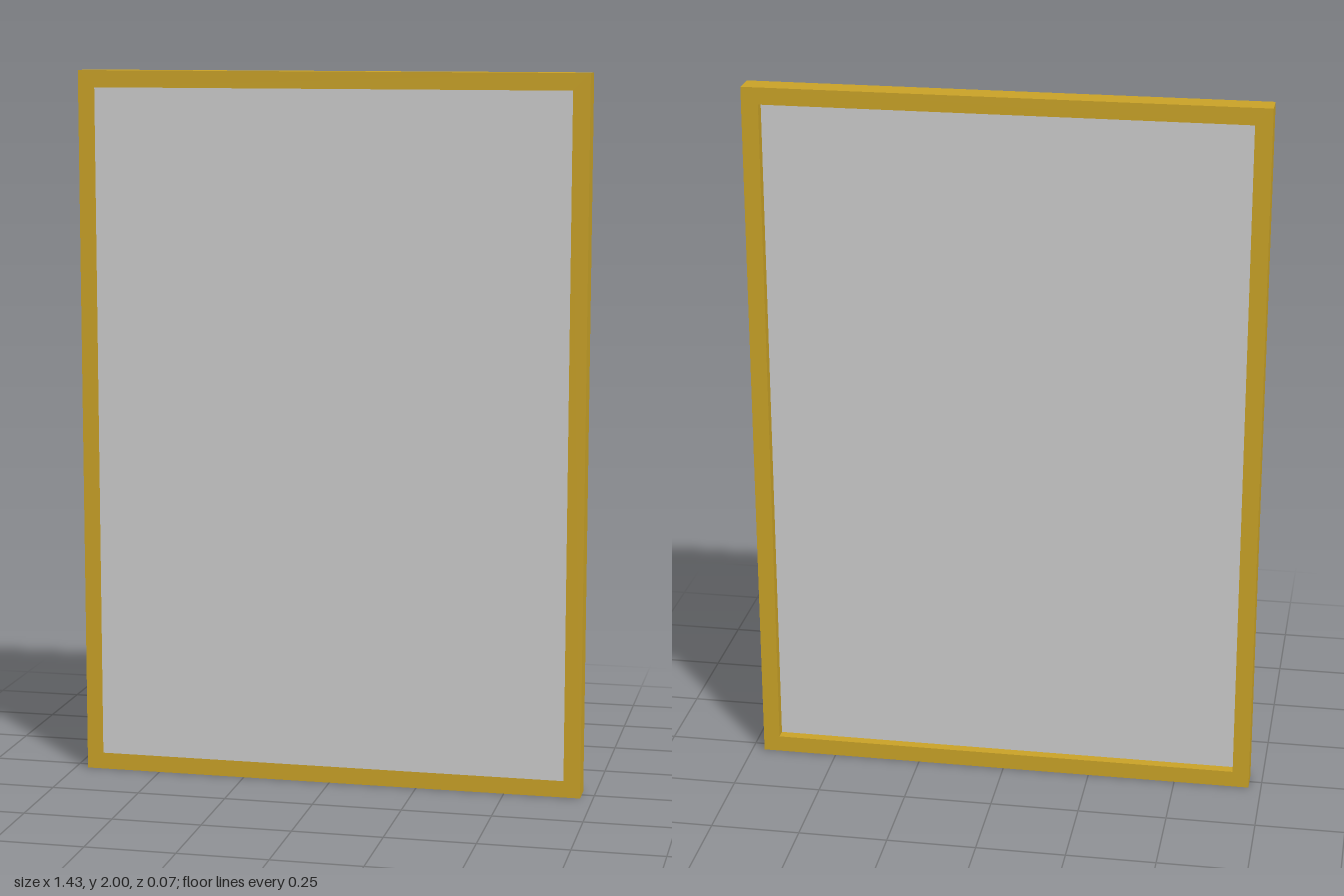
import * as THREE from 'three';

const W = 1.429, H = 2, D = 0.072; // outer size
const BORDER = 0.047, RECESS = 0.029; // rail width, depth of the rear rebate

// Rectangle outline centred on the origin
function rect(target, w, h) {
  target.moveTo(-w / 2, -h / 2);
  target.lineTo(w / 2, -h / 2);
  target.lineTo(w / 2, h / 2);
  target.lineTo(-w / 2, h / 2);
  target.closePath();
  return target;
}

export function createModel() {
  const group = new THREE.Group();
  const innerW = W - 2 * BORDER, innerH = H - 2 * BORDER;

  // Gold surround with a rectangular opening
  const outline = rect(new THREE.Shape(), W, H);
  outline.holes.push(rect(new THREE.Path(), innerW, innerH));
  const frame = new THREE.Mesh(
    new THREE.ExtrudeGeometry(outline, { depth: D, bevelEnabled: false }),
    new THREE.MeshStandardMaterial({ color: 0xc9a227 })
  );
  frame.name = 'frame';
  frame.position.set(0, H / 2, -D / 2);
  group.add(frame);

  // Panel flush with the front, set in from the back
  const panel = new THREE.Mesh(
    new THREE.BoxGeometry(innerW, innerH, D - RECESS),
    new THREE.MeshStandardMaterial({ color: 0xcccccc })
  );
  panel.name = 'panel';
  panel.position.set(0, H / 2, RECESS / 2);
  group.add(panel);

  return group;
}
